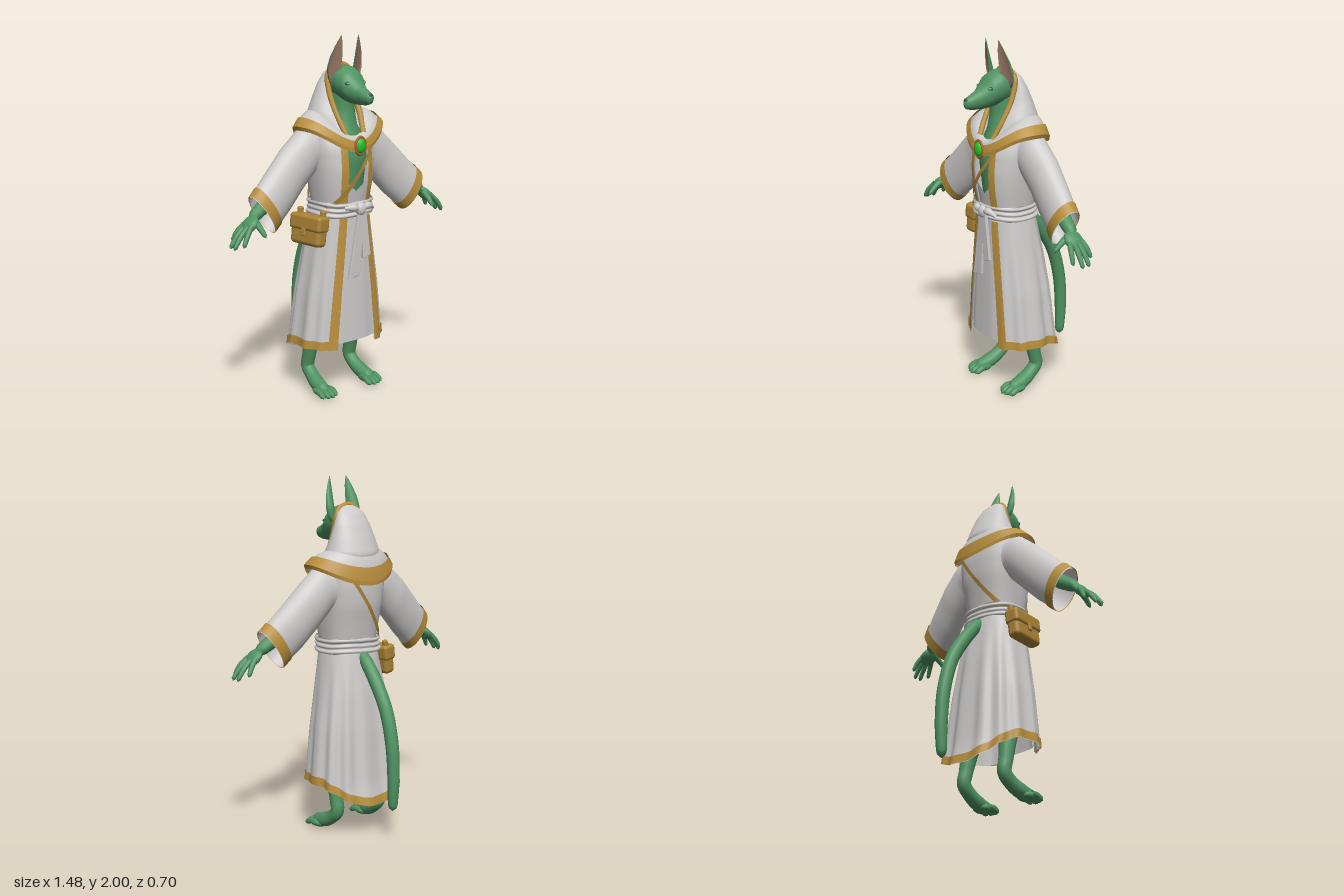
import * as THREE from 'three';
import { mergeVertices } from 'three/addons/utils/BufferGeometryUtils.js';
import { RoundedBoxGeometry } from 'three/addons/geometries/RoundedBoxGeometry.js';

const { sin, cos, PI, max, abs, min, sign } = Math;
const lerp = THREE.MathUtils.lerp;
const mat = (name, color) => new THREE.MeshStandardMaterial({ name, color, side: THREE.DoubleSide });

// Interpolates rows of numbers keyed by their first entry (descending)
const track = rows => y => {
  let i = 0;
  while (i < rows.length - 2 && y < rows[i + 1][0]) i++;
  const a = rows[i], b = rows[i + 1];
  const t = min(1, max(0, (a[0] - y) / (a[0] - b[0])));
  return a.map((v, k) => lerp(v, b[k], t));
};

const smooth = g => {
  g.deleteAttribute('uv');
  g.deleteAttribute('normal');
  g = mergeVertices(g, 1e-5);
  g.computeVertexNormals();
  return g;
};

// Smooth sheet from a rule (u, v) -> [x, y, z]
function grid(fn, nu, nv) {
  const pos = [], idx = [];
  for (let j = 0; j <= nv; j++) for (let i = 0; i <= nu; i++) pos.push(...fn(i / nu, j / nv));
  for (let j = 0; j < nv; j++) for (let i = 0; i < nu; i++) {
    const a = j * (nu + 1) + i, b = a + nu + 1;
    idx.push(a, b, a + 1, b, b + 1, a + 1);
  }
  const g = new THREE.BufferGeometry();
  g.setAttribute('position', new THREE.Float32BufferAttribute(pos, 3));
  g.setIndex(idx);
  return smooth(g);
}

// Tapered round limb through points [x, y, z, radius]
function limb(pts, n = 20, sides = 12) {
  const curve = new THREE.CatmullRomCurve3(pts.map(p => new THREE.Vector3(p[0], p[1], p[2])));
  const g = new THREE.TubeGeometry(curve, n, 1, sides);
  const pos = g.attributes.position, v = new THREE.Vector3();
  for (let i = 0; i <= n; i++) {
    const c = curve.getPointAt(i / n), t = curve.getUtoTmapping(i / n) * (pts.length - 1);
    const k = min(pts.length - 2, Math.floor(t)), r = lerp(pts[k][3], pts[k + 1][3], t - k);
    for (let j = 0; j <= sides; j++) {
      const q = i * (sides + 1) + j;
      v.fromBufferAttribute(pos, q).sub(c).multiplyScalar(r).add(c);
      pos.setXYZ(q, v.x, v.y, v.z);
    }
  }
  return smooth(g);
}

// Upright shell from rows [y, halfWidth, frontZ, backZ, openingHalfWidth]; angle 0 is the front
function shell(rows, p = 1, fold = () => 0) {
  const at = track(rows), pw = v => sign(v) * abs(v) ** p;
  return {
    at,
    aOf: (x, y) => sign(x) * Math.asin(min(1, (abs(x) / at(y)[1]) ** (1 / p))),
    pt(a, y, off = 0) {
      const [, rx, zf, zb] = at(y), o = off + fold(a, y);
      return [(rx + o) * pw(sin(a)), y, (zf + zb) / 2 + ((zf - zb) / 2 + o) * pw(cos(a))];
    },
  };
}

export function createModel() {
  const model = new THREE.Group();
  const skin = mat('green skin', 0x4f9362), cloth = mat('white cloth', 0xcdcbca), gold = mat('gold trim', 0xb98f3c);
  const leather = mat('tan leather', 0xac8436), earPink = mat('inner ear', 0x9c7866), gemGreen = mat('gem green', 0x1fc42a);
  const copper = mat('copper ring', 0xb0602c), dark = mat('dark green', 0x2f5a3e), pale = mat('pale green', 0x6aa87a);
  const add = (name, geo, m, x = 0, y = 0, z = 0) => {
    const mesh = new THREE.Mesh(geo, m);
    mesh.name = name;
    mesh.position.set(x, y, z);
    model.add(mesh);
    return mesh;
  };
  const ball = (name, m, p, s) => add(name, new THREE.SphereGeometry(1, 20, 14), m, ...p).scale.set(...s);

  // Robe
  const robe = shell([
    [1.58, 0.12, 0.13, -0.05, 0.065], [1.5, 0.19, 0.19, -0.085, 0.065], [1.41, 0.195, 0.235, -0.095, 0.065],
    [1.3, 0.185, 0.25, -0.09, 0.065], [1.2, 0.172, 0.245, -0.07, 0.062], [1.08, 0.155, 0.225, -0.05, 0.058],
    [1.0, 0.17, 0.228, -0.065, 0.06], [0.8, 0.203, 0.236, -0.1, 0.082], [0.6, 0.235, 0.242, -0.125, 0.104],
    [0.3, 0.268, 0.25, -0.155, 0.132], [0.18, 0.27, 0.25, -0.18, 0.135],
  ], 0.8, (a, y) => 0.007 * sin(a * 13) * min(1, max(0, (1 - y) / 0.5)) * (abs(sin(a)) + max(0, -cos(a))));
  const hem = a => 0.295 - 0.115 * max(0, -cos(a)) ** 2;
  const around = (u, fy, off) => {
    const y = fy(hem(lerp(0.3, 2 * PI - 0.3, u))), a0 = robe.aOf(robe.at(y)[4], y);
    return robe.pt(lerp(a0, 2 * PI - a0, u), y, off);
  };
  add('robe', grid((u, v) => around(u, h => lerp(1.58, h, v)), 110, 44), cloth);
  add('hemTrim', grid((u, v) => around(u, h => h + 0.048 * (1 - v), 0.006), 110, 2), gold);
  for (const s of [1, -1]) add('frontTrim', grid((u, v) => {
    const y = lerp(1.5, 0.29, v);
    return robe.pt(s * robe.aOf(robe.at(y)[4] + u * lerp(0.036, 0.05, v), y), y, 0.007);
  }, 5, 40), gold);
  add('innerPanel', grid((u, v) => {
    const s = 2 * u - 1, y = lerp(1.17 + 0.06 * abs(s), 0.32, v);
    return robe.pt(robe.aOf(s * (robe.at(y)[4] + 0.02), y), y, -0.012);
  }, 16, 30), cloth);

  // Sash with knot and hanging ends
  add('sash', grid((u, v) => robe.pt(u * 2 * PI, lerp(1.115, 1.03, v),
    0.012 + 0.01 * abs(sin(3 * PI * v + 0.5 * sin(3 * u * 2 * PI)))), 64, 18), cloth);
  ball('sashKnot', cloth, [0.015, 1.072, 0.25], [0.035, 0.036, 0.025]);
  for (const s of [1, -1]) add('sashLoop', limb([[0.015, 1.07, 0.25, 0.012], [0.015 + s * 0.05, 1.085, 0.25, 0.022],
    [0.015 + s * 0.1, 1.075 - s * 0.01, 0.235, 0.008]]), cloth);
  const ends = [[0.0, 1.06, 0.035, 1.06, 0.0, 0.705, -0.07, 0.69], [0.015, 1.06, 0.045, 1.06, 0.078, 0.81, 0.03, 0.795]];
  for (const e of ends) {
    const shape = new THREE.Shape([0, 2, 4, 6].map(i => new THREE.Vector2(e[i], e[i + 1])));
    add('sashEnd', new THREE.ExtrudeGeometry(shape, { depth: 0.012, bevelSize: 0.003, bevelThickness: 0.003 }), cloth, 0, 0, 0.246);
  }

  // Shoulder cape
  const cape = (a, v, lift = 0) => {
    const c = cos(a), f = max(0, c), b = max(0, -c), k = sin(PI * v) * 0.016 + lift;
    return [
      lerp(0.15, 0.268, v) * sin(a) + lift * sin(a),
      lerp(1.605 - 0.135 * f * f, 1.525 - 0.12 * f ** 3 - 0.09 * b * b, v) + k,
      lerp(0.04 + 0.17 * f - 0.1 * b, 0.075 + 0.18 * f - 0.19 * b, v) + (lift + k * 0.5) * c,
    ];
  };
  add('shoulderCape', grid((u, v) => cape(u * 2 * PI, v), 64, 10), cloth);
  add('capeTrim', grid((u, v) => cape(u * 2 * PI, lerp(0.66, 1.02, v), 0.006), 64, 4), gold);
  add('capeEdge', grid((u, v) => {
    const p = cape(u * 2 * PI, 1.02, 0.006);
    return [p[0] * (1 - 0.03 * v), p[1] - 0.022 * v, p[2]];
  }, 64, 1), gold);

  // Hood
  const hood = shell([
    [1.848, 0.02, 0.1, 0.08, 0.018], [1.83, 0.055, 0.1, 0.045, 0.05], [1.8, 0.088, 0.1, 0.015, 0.078],
    [1.74, 0.115, 0.11, -0.02, 0.086], [1.66, 0.142, 0.135, -0.055, 0.085], [1.58, 0.17, 0.175, -0.085, 0.08],
    [1.48, 0.15, 0.225, -0.06, 0.06],
  ]);
  const hoodEdge = y => hood.aOf(hood.at(y)[4], y);
  add('hood', grid((u, v) => {
    const y = lerp(1.848, 1.48, v), a0 = hoodEdge(y);
    return hood.pt(lerp(a0, 2 * PI - a0, u), y);
  }, 44, 24), cloth);
  const rim = [1.48, 1.56, 1.64, 1.72, 1.79, 1.83].map(y => [...hood.pt(hoodEdge(y), y), 0.015]);
  add('hoodTrim', limb([...rim, [0, 1.845, 0.085, 0.015], ...rim.map(p => [-p[0], p[1], p[2], p[3]]).reverse()], 70, 10), gold);

  // Chest and neck
  const body = shell([
    [1.72, 0.062, 0.18, 0.03], [1.6, 0.07, 0.175, 0.02], [1.52, 0.085, 0.19, 0], [1.45, 0.13, 0.212, -0.03],
    [1.35, 0.15, 0.228, -0.04], [1.2, 0.13, 0.215, -0.03], [1.05, 0.12, 0.195, -0.02],
  ]);
  add('chestAndNeck', grid((u, v) => body.pt(u * 2 * PI, lerp(1.72, 1.05, v)), 32, 24), skin);

  // Head, lofted along z from rows [z, top, bottom, halfWidth]
  const headRow = track([
    [0.352, 1.688, 1.672, 0.004], [0.342, 1.708, 1.652, 0.022], [0.31, 1.722, 1.643, 0.032], [0.27, 1.743, 1.64, 0.04],
    [0.235, 1.775, 1.64, 0.056], [0.2, 1.815, 1.643, 0.077], [0.15, 1.84, 1.65, 0.085], [0.1, 1.842, 1.66, 0.083],
    [0.06, 1.81, 1.67, 0.06], [0.04, 1.76, 1.72, 0.004],
  ]);
  add('head', grid((u, v) => {
    const [z, top, bot, w] = headRow(lerp(0.352, 0.04, v)), a = u * 2 * PI, h = (top - bot) / 2;
    return [w * sin(a) * (1 + 0.12 * cos(a)), (top + bot) / 2 + h * cos(a), z];
  }, 28, 32), skin);
  ball('nose', dark, [0, 1.698, 0.338], [0.016, 0.012, 0.012]);
  for (const s of [1, -1]) {
    ball('eyeRim', dark, [s * 0.05, 1.753, 0.218], [0.019, 0.011, 0.012]);
    ball('eye', pale, [s * 0.051, 1.753, 0.222], [0.016, 0.008, 0.012]);
  }

  // Ears, rows [y, centreX, halfWidth, z, depth]
  const earRow = track([[2.0, 0.058, 0.002, 0.17, 0.002], [1.95, 0.067, 0.018, 0.163, 0.012], [1.89, 0.077, 0.03, 0.152, 0.024],
    [1.83, 0.082, 0.034, 0.143, 0.036], [1.78, 0.077, 0.03, 0.137, 0.034], [1.75, 0.067, 0.022, 0.13, 0.03]]);
  const ear = (s, depth, width) => grid((u, v) => {
    const [y, x, w, z, d] = earRow(lerp(2, 1.75, v)), a = u * PI, c = w * width * cos(a);
    return [s * (x + c), y, z - d * depth * sin(a) - 0.4 * c];
  }, 14, 18);
  for (const s of [1, -1]) {
    add('ear', ear(s, 1, 1), skin);
    add('innerEar', ear(s, 0.3, 0.97), earPink);
  }

  // Arms
  const sleeveRow = [[0.1, 1.54, 0.09, 1.27, 0.05, 0.09], [0.245, 1.515, 0.165, 1.27, 0.055, 0.088], [0.36, 1.415, 0.245, 1.19, 0.055, 0.085],
    [0.475, 1.3, 0.345, 1.085, 0.07, 0.08], [0.588, 1.19, 0.46, 0.985, 0.09, 0.072]].map((r, i) => [-i, ...r]);
  const sleeveAt = track(sleeveRow);
  const sleeve = (s, t0, t1, off) => grid((u, v) => {
    const [, ux, uy, lx, ly, z, d] = sleeveAt(-lerp(t0, t1, v)), a = u * 2 * PI, c = cos(a) * (0.5 + off * 4);
    return [s * ((ux + lx) / 2 + (ux - lx) * c), (uy + ly) / 2 + (uy - ly) * c, z + (d + off) * sin(a)];
  }, 28, 20);
  const fingers = [[0.69, 0.965, 0.055], [0.73, 0.94, 0.1], [0.733, 0.94, 0.142], [0.7, 0.955, 0.178]];
  for (const s of [1, -1]) {
    const m = pts => pts.map(p => [s * p[0], ...p.slice(1)]);
    add('sleeve', sleeve(s, 0, 4, 0), cloth);
    add('cuffTrim', sleeve(s, 3.62, 4.03, 0.006), gold);
    add('forearm', limb(m([[0.38, 1.25, 0.07, 0.045], [0.5, 1.145, 0.088, 0.04], [0.575, 1.095, 0.1, 0.034], [0.6, 1.075, 0.105, 0.02]])), skin);
    const palm = add('palm', new THREE.SphereGeometry(1, 18, 12), skin, s * 0.618, 1.055, 0.112);
    palm.scale.set(0.058, 0.027, 0.054);
    palm.rotation.z = -s * 0.8;
    fingers.forEach(([x, y, z], i) => add('finger', limb(m([[0.63, 1.055, 0.078 + i * 0.024, 0.014],
      [lerp(0.63, x, 0.55), lerp(1.055, y, 0.42), lerp(0.078 + i * 0.024, z, 0.6), 0.0145], [x - 0.004, y + 0.01, z, 0.011], [x, y, z, 0.001]]), 14, 8), skin));
    add('thumb', limb(m([[0.595, 1.07, 0.13, 0.02], [0.593, 1.04, 0.175, 0.016], [0.59, 1.01, 0.208, 0.012], [0.588, 0.998, 0.218, 0.001]]), 14, 8), skin);

    // Legs and feet
    add('leg', limb(m([[0.11, 0.62, 0.06, 0.07], [0.135, 0.42, 0.045, 0.058], [0.147, 0.29, 0.018, 0.046], [0.152, 0.2, 0, 0.039],
      [0.154, 0.13, -0.012, 0.038], [0.156, 0.085, 0.03, 0.038], [0.162, 0.052, 0.09, 0.042], [0.166, 0.036, 0.16, 0.034], [0.166, 0.03, 0.19, 0.004]]), 44, 16), skin);
    ball('footPad', skin, [s * 0.166, 0.028, 0.14], [0.052, 0.028, 0.06]);
    for (let i = 0; i < 4; i++) {
      const x = 0.126 + i * 0.027, z = 0.225 - abs(i - 1.3) * 0.014;
      add('toe', limb(m([[x + 0.004, 0.036, 0.13, 0.014], [x, 0.032, z - 0.03, 0.018], [x, 0.018, z, 0.016], [x, 0.012, z + 0.016, 0.001]]), 14, 8), skin);
    }
  }

  // Tail
  add('tail', limb([[0, 1.03, -0.03, 0.03], [0, 0.98, -0.085, 0.037], [0, 0.88, -0.165, 0.038], [0, 0.74, -0.25, 0.038], [0, 0.55, -0.303, 0.037],
    [0, 0.36, -0.317, 0.034], [0, 0.21, -0.312, 0.027], [0, 0.185, -0.311, 0.018], [0, 0.175, -0.31, 0.002]], 50, 16), skin);

  // Brooch
  ball('gem', gemGreen, [0, 1.422, 0.262], [0.031, 0.042, 0.022]);
  add('gemRing', new THREE.TorusGeometry(0.034, 0.007, 10, 32), copper, 0, 1.422, 0.262).scale.y = 1.35;

  // Satchel and strap
  for (const back of [false, true]) add('strap', grid((u, v) => {
    const y = lerp(back ? 1.5 : 1.42, 1.06, u), a = robe.aOf(lerp(back ? 0.13 : 0.1, -0.155, u), y);
    return robe.pt(back ? PI - a : a, y + (v - 0.5) * 0.036, 0.014);
  }, 30, 2), leather);
  const bag = new THREE.Group();
  bag.name = 'satchel';
  const part = (name, size, r, p) => {
    const mesh = new THREE.Mesh(new RoundedBoxGeometry(...size, 3, r), leather);
    mesh.name = name;
    mesh.position.set(...p);
    bag.add(mesh);
  };
  part('pouch', [0.075, 0.16, 0.22], 0.025, [0, -0.01, 0]);
  part('flap', [0.088, 0.09, 0.232], 0.02, [-0.002, 0.035, 0]);
  part('clasp', [0.012, 0.045, 0.03], 0.005, [-0.045, -0.015, 0]);
  for (const s of [1, -1]) part('strapLoop', [0.03, 0.06, 0.03], 0.01, [0.01, 0.08, s * 0.085]);
  bag.position.set(-0.212, 0.965, 0.085);
  bag.rotation.set(0, 0.15, -0.12);
  model.add(bag);
  return model;
}
